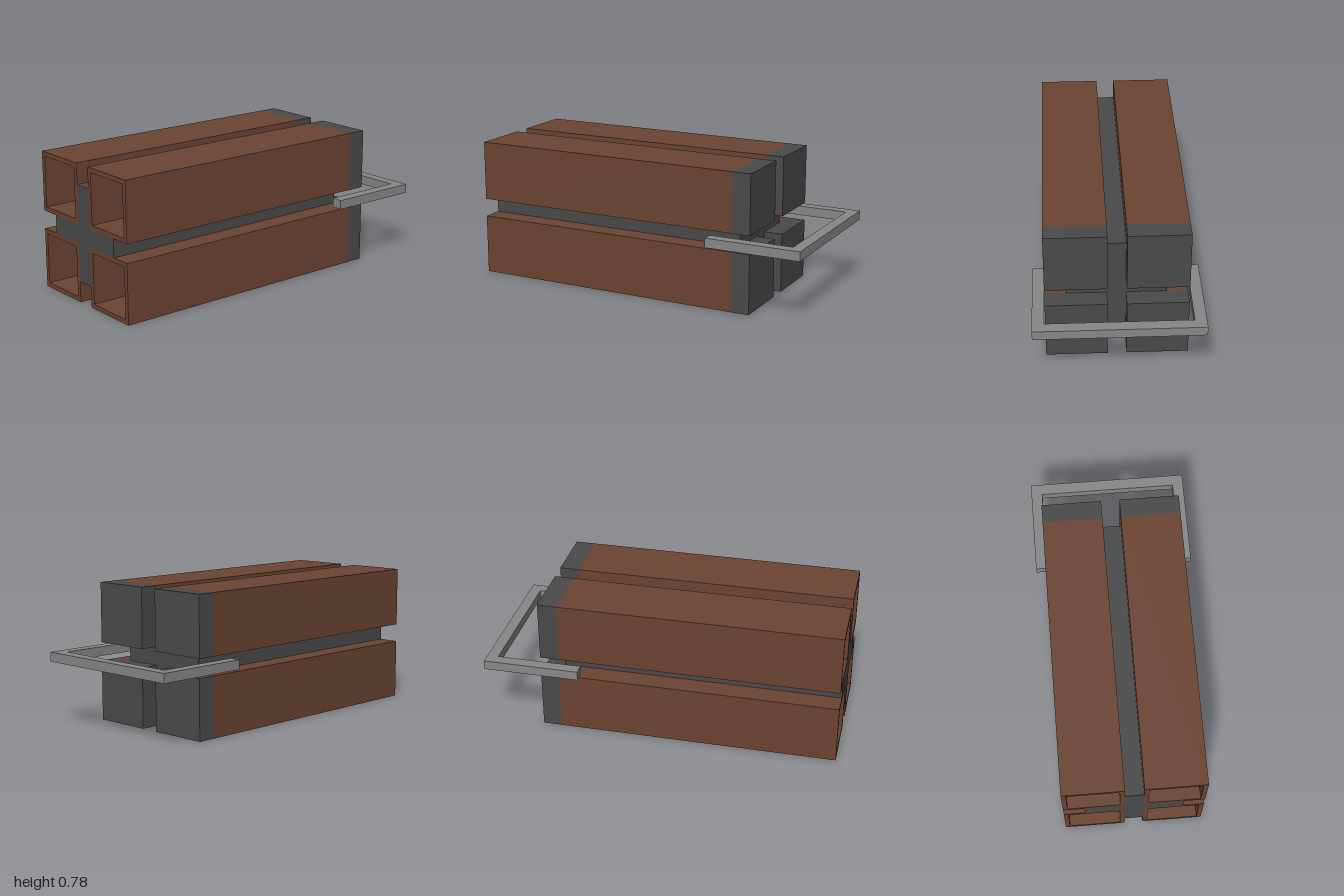
import * as THREE from 'three';

const brown = new THREE.MeshStandardMaterial({ color: 0x6b4433 });
const dark = new THREE.MeshStandardMaterial({ color: 0x4a4a4a });
const steel = new THREE.MeshStandardMaterial({ color: 0x888888 });

const MID = 0.393;              // height of the centre axis
const GAP = 0.052;              // half the slot between tubes
const SIZE = 0.339;             // outer width of a tube
const WALL = 0.026;
const FRONT = 1, BACK = -0.58, CAP_BACK = -0.688;

function polygon(points) {
  return new THREE.Shape(points.map(([x, y]) => new THREE.Vector2(x, y)));
}

function square(s) {
  const h = s / 2;
  return polygon([[-h, -h], [h, -h], [h, h], [-h, h]]);
}

function extrude(shape, depth) {
  return new THREE.ExtrudeGeometry(shape, { depth, bevelEnabled: false });
}

function add(parent, name, geometry, material, x, y, z) {
  const mesh = new THREE.Mesh(geometry, material);
  mesh.name = name;
  mesh.position.set(x, y, z);
  parent.add(mesh);
}

export function createModel() {
  const model = new THREE.Group();
  model.name = 'tubeCluster';

  // Four hollow square tubes, each with an inner floor and a rear cap
  const section = square(SIZE);
  section.holes.push(square(SIZE - 2 * WALL));
  const tubeGeometry = extrude(section, FRONT - BACK);
  const inner = SIZE - 2 * WALL;
  const floorGeometry = new THREE.BoxGeometry(inner, inner, WALL);
  const capGeometry = new THREE.BoxGeometry(SIZE, SIZE, BACK - CAP_BACK);
  const offset = GAP + SIZE / 2;
  for (const sx of [-1, 1]) {
    for (const sy of [-1, 1]) {
      const barrel = new THREE.Group();
      barrel.name = (sy > 0 ? 'upper' : 'lower') + (sx > 0 ? 'Left' : 'Right') + 'Barrel';
      barrel.position.set(sx * offset, MID + sy * offset, 0);
      add(barrel, 'tube', tubeGeometry, brown, 0, 0, BACK);
      add(barrel, 'tubeFloor', floorGeometry, brown, 0, 0, BACK + WALL / 2);
      add(barrel, 'rearCap', capGeometry, dark, 0, 0, (BACK + CAP_BACK) / 2);
      model.add(barrel);
    }
  }

  // Cross-shaped spine filling the slots between the tubes
  const a = 0.273, g = GAP;
  const cross = polygon([
    [-g, -a], [g, -a], [g, -g], [a, -g], [a, g], [g, g],
    [g, a], [-g, a], [-g, g], [-a, g], [-a, -g], [-g, -g],
  ]);
  add(model, 'crossSpine', extrude(cross, FRONT - BACK), dark, 0, MID, BACK);

  // U-shaped rear handle, drawn in plan and laid flat
  const o = 0.456, i = 0.392, end = 0.455, barInside = 0.936;
  const handle = polygon([
    [-o, end], [-i, end], [-i, barInside], [i, barInside],
    [i, end], [o, end], [o, 1], [-o, 1],
  ]);
  const handleGeometry = extrude(handle, 0.053).rotateX(-Math.PI / 2);
  add(model, 'rearHandle', handleGeometry, steel, 0, MID - 0.0265, 0);

  return model;
}
